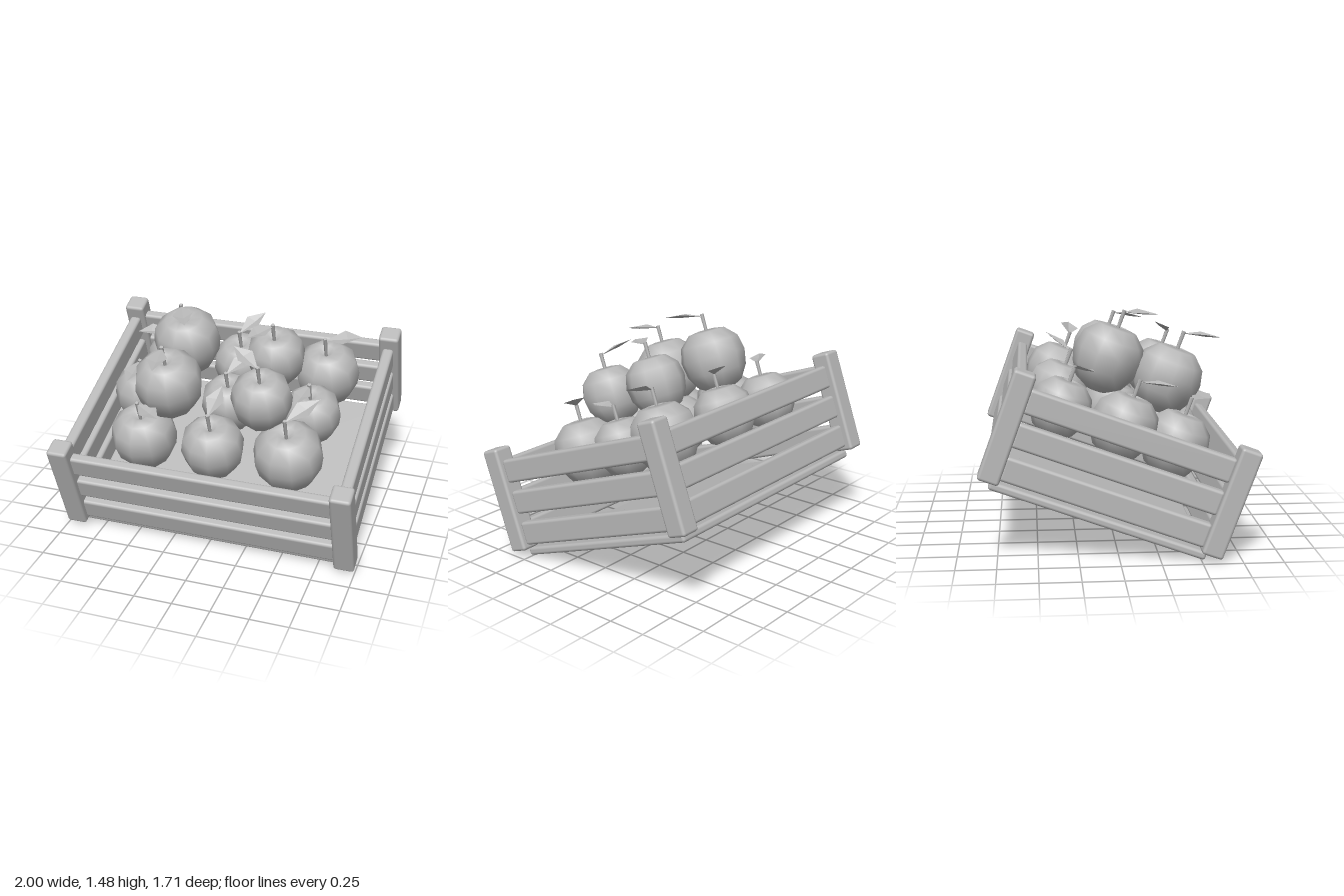
import * as THREE from 'three';
import { RoundedBoxGeometry } from 'three/addons/geometries/RoundedBoxGeometry.js';

const TILT = THREE.MathUtils.degToRad(20);
const grey = new THREE.MeshStandardMaterial({ color: 0xb8b8b8 });
grey.name = 'plain grey';
const leafGrey = new THREE.MeshStandardMaterial({ color: 0xb8b8b8, side: THREE.DoubleSide, flatShading: true });
leafGrey.name = 'leaf grey';

function plank(name, w, h, d, x, y, z) {
  const mesh = new THREE.Mesh(new RoundedBoxGeometry(w, h, d, 2, 0.02), grey);
  mesh.name = name;
  mesh.position.set(x, y, z);
  return mesh;
}

// Crate leaning forward: floor, four posts, three slats per side
function makeCrate() {
  const crate = new THREE.Group();
  crate.name = 'crate';
  crate.add(plank('floor', 1.85, 0.055, 1.406, 0, 0.0275, 0));
  for (const s of [-1, 1]) {
    for (const t of [-1, 1]) crate.add(plank('cornerPost', 0.137, 0.7, 0.137, s * 0.9315, 0.405, t * 0.719));
    for (const y of [0.162, 0.377, 0.592]) {
      crate.add(plank('sideSlat', 0.075, 0.157, 1.32, s * 0.93, y, 0));
      crate.add(plank(s > 0 ? 'frontSlat' : 'backSlat', 1.76, 0.157, 0.07, 0, y, s * 0.71));
    }
  }
  crate.position.set(0, 0.242, -0.14);
  crate.rotation.x = TILT;
  return crate;
}

// Unit apple profile with a dimple at each end
const appleGeometry = new THREE.LatheGeometry([
  [0, -0.84], [0.3, -0.96], [0.68, -0.75], [0.92, -0.35], [1, 0.12],
  [0.9, 0.57], [0.56, 0.9], [0.25, 0.95], [0, 0.72],
].map(([x, y]) => new THREE.Vector2(x, y)), 10);

const stemGeometry = new THREE.CylinderGeometry(0.014, 0.011, 0.18, 5);

// Folded diamond leaf, growing along +z from the stem
const leafGeometry = new THREE.BufferGeometry();
leafGeometry.setAttribute('position', new THREE.Float32BufferAttribute([
  0, 0, 0, 0.065, 0.02, 0.13, 0, 0, 0.15, -0.065, 0.02, 0.13, 0, 0.01, 0.25,
], 3));
leafGeometry.setIndex([0, 2, 1, 0, 3, 2, 2, 4, 1, 3, 4, 2]);
leafGeometry.computeVertexNormals();

function makeApple([x, y, z, r, dx, dz], i) {
  const apple = new THREE.Group();
  apple.name = 'apple';
  const body = new THREE.Mesh(appleGeometry, grey);
  body.name = 'appleBody';
  body.scale.setScalar(r);
  body.rotation.y = i * 0.83;
  const stem = new THREE.Mesh(stemGeometry, grey);
  stem.name = 'stem';
  stem.position.y = r * 1.45 - 0.09;
  const leaf = new THREE.Mesh(leafGeometry, leafGrey);
  leaf.name = 'leaf';
  leaf.position.y = r * 1.45 - 0.015;
  leaf.rotation.set(-0.17, Math.atan2(dx, dz), 0, 'YXZ');
  leaf.scale.setScalar(r / 0.215);
  apple.add(body, stem, leaf);
  apple.position.set(x, y, z);
  apple.rotation.x = TILT;
  return apple;
}

// Each apple: centre x, y, z, radius, leaf direction x, z
const APPLES = [
  [-0.55, 0.90, -0.35, 0.195, -38, 21],
  [-0.05, 0.92, -0.36, 0.205, 25, -34],
  [0.555, 0.935, -0.35, 0.22, 44, -3],
  [-0.62, 0.79, 0.04, 0.215, 1, 50],
  [-0.03, 0.785, 0, 0.195, 21, -28],
  [0.54, 0.785, 0, 0.195, -7, 42],
  [-0.505, 0.645, 0.38, 0.22, 28, 20],
  [-0.025, 0.64, 0.38, 0.21, 5, -40],
  [0.485, 0.655, 0.37, 0.23, 30, -30],
  [-0.345, 1.18, -0.04, 0.225, 20, 42],
  [0.275, 1.15, -0.045, 0.195, -19, 30],
  [-0.335, 1.04, 0.345, 0.225, 7, 50],
  [0.29, 1.01, 0.33, 0.2, -32, -21],
];

export function createModel() {
  const model = new THREE.Group();
  model.name = 'appleCrate';
  model.add(makeCrate(), ...APPLES.map(makeApple));
  return model;
}
